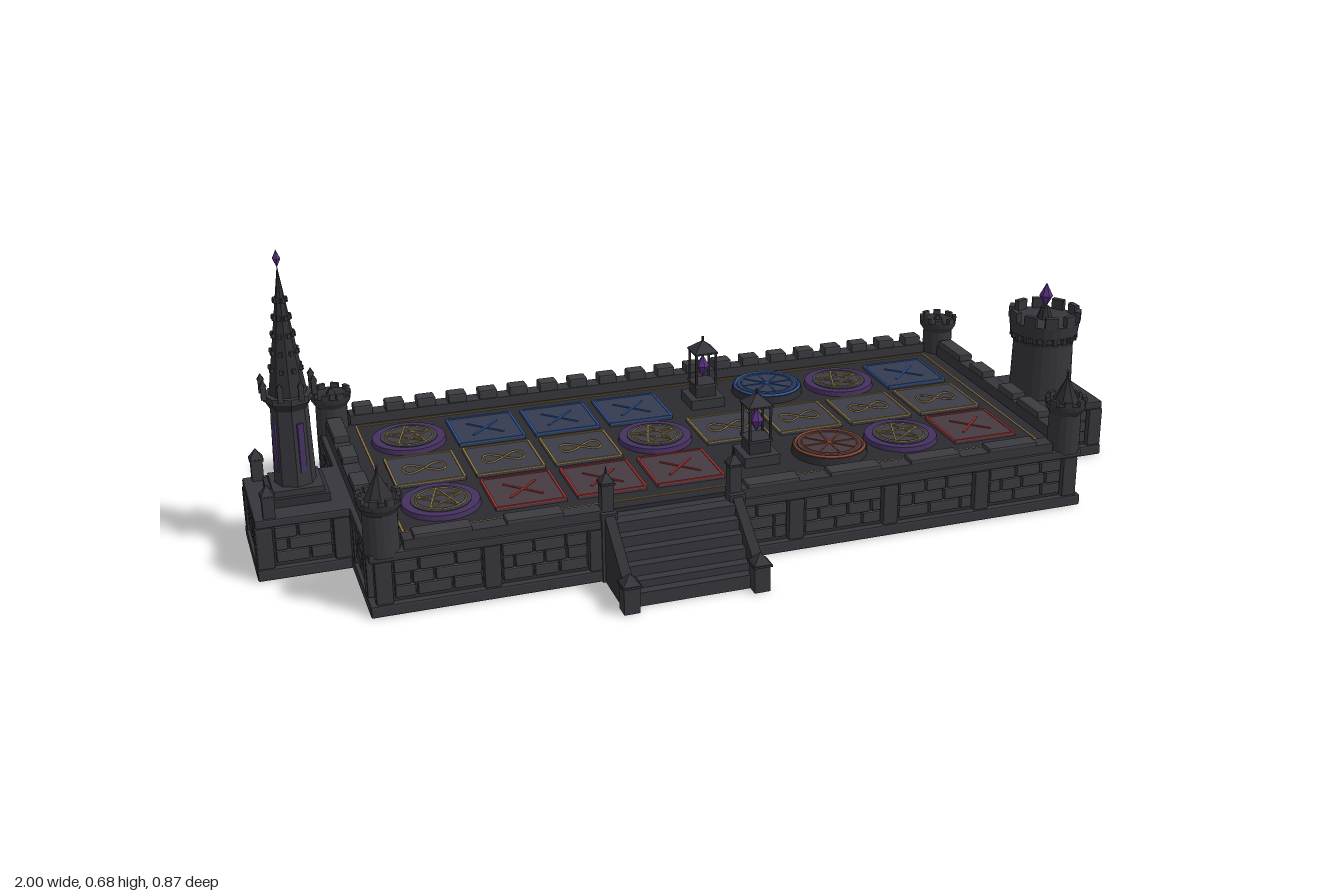
import * as THREE from 'three';
import { RoundedBoxGeometry } from 'three/addons/geometries/RoundedBoxGeometry.js';

const C = { stone: 0x35353b, brick: 0x3a3a40, trim: 0x2e2e33, floor: 0x2b2a30, tile: 0x3c3d46, blueTile: 0x343c50,
  redTile: 0x453a40, gold: 0x8a7440, blue: 0x2f569c, red: 0xa03030, orange: 0x8a452c, purple: 0x44305e, gem: 0x55307c };
const mats = {};
const mat = (c) => (mats[c] ??= new THREE.MeshStandardMaterial({ color: C[c], flatShading: true }));

function add(parent, name, geo, color, x = 0, y = 0, z = 0) {
  const m = new THREE.Mesh(geo, mat(color));
  m.name = name;
  m.position.set(x, y, z);
  parent.add(m);
  return m;
}
function group(parent, name, x = 0, y = 0, z = 0) {
  const g = new THREE.Group();
  g.name = name;
  g.position.set(x, y, z);
  parent.add(g);
  return g;
}
// plain or rounded box standing on y0
const box = (p, n, w, h, d, c, x = 0, y0 = 0, z = 0) => add(p, n, new THREE.BoxGeometry(w, h, d), c, x, y0 + h / 2, z);
const soft = (p, n, w, h, d, c, x = 0, y0 = 0, z = 0) =>
  add(p, n, new RoundedBoxGeometry(w, h, d, 1, 0.004), c, x, y0 + h / 2, z);
// drum standing on y0
const drum = (p, n, rt, rb, h, c, y0, sides = 16, x = 0, z = 0) =>
  add(p, n, new THREE.CylinderGeometry(rt, rb, h, sides), c, x, y0 + h / 2, z);
// square pyramid cap
function pyramid(p, n, w, h, c, x, y0, z) {
  const m = add(p, n, new THREE.ConeGeometry(w * Math.SQRT1_2, h, 4), c, x, y0 + h / 2, z);
  m.rotation.y = Math.PI / 4;
}
function crystal(p, r, h, x, y, z) {
  const m = add(p, 'crystal', new THREE.CylinderGeometry(0, 1, 1, 6).translate(0, 0.5, 0), 'gem', x, y, z);
  m.scale.set(r, h / 2, r);
  const low = add(p, 'crystalBase', new THREE.CylinderGeometry(1, 0, 1, 6).translate(0, -0.5, 0), 'gem', x, y, z);
  low.scale.copy(m.scale);
}
function ringOf(n, r, fn) {
  for (let i = 0; i < n; i++) {
    const a = ((i + 0.5) / n) * Math.PI * 2;
    fn(Math.sin(a) * r, Math.cos(a) * r, a);
  }
}
function merlonRing(p, n, r, w, h, d, y0) {
  ringOf(n, r, (x, z, a) => { box(p, 'merlon', w, h, d, 'stone', x, y0, z).rotation.y = a; });
}

let seed = 7;
const rand = () => (seed = (seed * 16807) % 2147483647) / 2147483647;
const spread = (len, bays) => Array.from({ length: bays + 1 }, (_, i) => (i / bays - 0.5) * len);

// wall face with pilasters at the given places along local x and raised bricks between, facing local +z
function wallFace(parent, places, x, z, ry) {
  const g = group(parent, 'brickFace', x, 0, z);
  g.rotation.y = ry;
  places.forEach((p, i) => {
    soft(g, 'pilaster', 0.036, 0.094, 0.026, 'stone', p, 0.026, 0);
    if (i === places.length - 1) return;
    const a = p + 0.02, end = places[i + 1] - 0.02;
    for (let r = 0; r < 3; r++) {
      let s = a;
      while (end - s > 0.01) {
        let l = 0.046 + rand() * 0.03;
        if (s === a && r === 1) l *= 0.5;
        if (end - s - l < 0.025) l = end - s;
        add(g, 'brick', new RoundedBoxGeometry(l - 0.004, 0.0255, 0.018, 1, 0.003), 'brick', s + l / 2, 0.0485 + r * 0.0275, 0);
        s += l;
      }
    }
  });
}
function block(parent, name, w, d, x, z, bottom) {
  const g = group(parent, name, x, 0, z);
  for (const s of [-1, 1]) {
    soft(g, 'plinth', w, 0.026, 0.04, 'stone', 0, 0, s * (d / 2 - 0.02));
    soft(g, 'plinth', 0.04, 0.026, d, 'stone', s * (w / 2 - 0.02), 0, 0);
  }
  box(g, 'core', w - 0.03, 0.13 - bottom, d - 0.03, 'trim', 0, bottom);
  soft(g, 'ledge', w - 0.006, 0.019, d - 0.006, 'stone', 0, 0.119);
}

function cornerTower(parent, x, z, roofed) {
  const g = group(parent, 'cornerTower', x, 0, z);
  const top = roofed ? 0.222 : 0.203;
  drum(g, 'shaft', 0.036, 0.037, top - 0.13, 'stone', 0.13);
  drum(g, 'corbel', 0.045, 0.036, 0.014, 'stone', top);
  drum(g, 'head', 0.045, 0.045, 0.012, 'trim', top + 0.014);
  merlonRing(g, 8, 0.041, 0.018, 0.013, 0.009, top + 0.024);
  if (roofed) {
    add(g, 'roof', new THREE.ConeGeometry(0.034, 0.065, 8), 'trim', 0, 0.274, 0);
    drum(g, 'finial', 0.002, 0.003, 0.02, 'stone', 0.3, 6);
    add(g, 'finialTip', new THREE.OctahedronGeometry(0.005), 'gem', 0, 0.317, 0);
  } else drum(g, 'cap', 0.004, 0.012, 0.014, 'trim', top + 0.024, 8);
}
function post(parent, x, z, y0, h, w) {
  const g = group(parent, 'post', x, y0, z);
  box(g, 'shaft', w, h, w, 'stone');
  box(g, 'collar', w * 1.2, 0.005, w * 1.2, 'trim', 0, h - 0.003);
  pyramid(g, 'cap', w * 1.1, 0.022, 'stone', 0, h + 0.002, 0);
}

function roundTower(parent, x, z) {
  const g = group(parent, 'roundTower', x, 0, z);
  drum(g, 'shaft', 0.07, 0.074, 0.165, 'stone', 0.135, 24);
  drum(g, 'band', 0.073, 0.073, 0.008, 'trim', 0.272, 24);
  ringOf(20, 0.073, (bx, bz, a) => { box(g, 'corbel', 0.01, 0.016, 0.014, 'trim', bx, 0.28, bz).rotation.y = a; });
  drum(g, 'head', 0.084, 0.08, 0.03, 'stone', 0.295, 24);
  merlonRing(g, 10, 0.078, 0.03, 0.026, 0.013, 0.324);
  drum(g, 'crystalStand', 0.01, 0.02, 0.03, 'trim', 0.324, 8);
  crystal(g, 0.016, 0.064, 0, 0.381, 0);
}

function spireTower(parent, x, z) {
  const g = group(parent, 'spireTower', x, 0, z);
  box(g, 'base', 0.126, 0.02, 0.126, 'trim', 0, 0.137);
  box(g, 'upperBase', 0.106, 0.014, 0.106, 'stone', 0, 0.156);
  drum(g, 'shaft', 0.039, 0.044, 0.18, 'stone', 0.168, 8);
  for (let i = 0; i < 4; i++) {
    const a = i * Math.PI / 2 + Math.PI / 8;
    box(g, 'window', 0.014, 0.11, 0.006, 'purple', Math.sin(a) * 0.039, 0.2, Math.cos(a) * 0.039).rotation.y = a;
  }
  drum(g, 'corbel', 0.05, 0.04, 0.018, 'trim', 0.338, 8);
  drum(g, 'gallery', 0.052, 0.052, 0.014, 'stone', 0.355, 8);
  ringOf(8, 0.056, (px, pz) => {
    box(g, 'pinnacle', 0.011, 0.03, 0.011, 'stone', px, 0.367, pz);
    pyramid(g, 'pinnacleCap', 0.014, 0.014, 'trim', px, 0.396, pz);
  });
  add(g, 'spire', new THREE.ConeGeometry(0.04, 0.28, 8), 'trim', 0, 0.506, 0);
  // knobs climbing the spire ribs
  for (let k = 0; k < 5; k++) {
    const y = 0.42 + k * 0.037;
    ringOf(8, 0.04 * (0.646 - y) / 0.28 + 0.001, (px, pz, a) => {
      box(g, 'spireKnob', 0.007, 0.009, 0.007, 'stone', px, y, pz).rotation.y = a;
    });
  }
  crystal(g, 0.009, 0.038, 0, 0.66, 0);
}

function lantern(parent, x, z) {
  const g = group(parent, 'lantern', x, 0, z);
  box(g, 'foot', 0.082, 0.03, 0.082, 'stone', 0, 0.14);
  box(g, 'pedestal', 0.05, 0.028, 0.05, 'trim', 0, 0.17);
  box(g, 'tray', 0.056, 0.006, 0.056, 'stone', 0, 0.197);
  for (const sx of [-1, 1]) for (const sz of [-1, 1]) box(g, 'bar', 0.005, 0.076, 0.005, 'trim', sx * 0.024, 0.202, sz * 0.024);
  box(g, 'eave', 0.056, 0.005, 0.056, 'trim', 0, 0.276);
  pyramid(g, 'roof', 0.058, 0.025, 'stone', 0, 0.28, 0);
  drum(g, 'finial', 0.003, 0.003, 0.014, 'trim', 0.3, 6);
  crystal(g, 0.016, 0.056, 0, 0.241, 0);
}

// flat bar between two points of the ground plane
function bar(p, n, x1, z1, x2, z2, w, c, y) {
  const m = box(p, n, Math.hypot(x2 - x1, z2 - z1), 0.003, w, c, (x1 + x2) / 2, y, (z1 + z2) / 2);
  m.rotation.y = -Math.atan2(z2 - z1, x2 - x1);
}
function frame(p, hw, hd, w, c, y) {
  for (const s of [-1, 1]) {
    bar(p, 'border', -hw, s * hd, hw, s * hd, w, c, y);
    bar(p, 'border', s * hw, -hd, s * hw, hd, w, c, y);
  }
}
function flatRing(p, n, r, t, c, y) {
  add(p, n, new THREE.TorusGeometry(r, t, 4, 32), c, 0, y, 0).rotation.x = Math.PI / 2;
}
class Loop8 extends THREE.Curve {
  getPoint(t, v = new THREE.Vector3()) {
    const a = t * Math.PI * 2;
    return v.set(Math.sin(a) * 0.046, 0, Math.sin(2 * a) * 0.021);
  }
}
const loopGeo = new THREE.TubeGeometry(new Loop8(), 48, 0.0025, 4, true);

function squareTile(parent, x, z, kind) {
  const g = group(parent, 'boardTile', x, 0.146, z);
  box(g, 'slab', 0.152, 0.008, 0.152, { loop: 'tile', blue: 'blueTile', red: 'redTile' }[kind]);
  const c = kind === 'loop' ? 'gold' : kind;
  frame(g, 0.074, 0.074, 0.005, c, 0.007);
  if (kind === 'loop') add(g, 'loopInlay', loopGeo, c, 0, 0.009, 0);
  else for (const s of [-1, 1]) bar(g, 'crossInlay', -0.035, -0.035 * s, 0.035, 0.035 * s, 0.005, c, 0.007);
}
function starTile(parent, x, z) {
  const g = group(parent, 'starTile', x, 0.146, z);
  drum(g, 'disc', 0.082, 0.084, 0.012, 'purple', 0, 32);
  drum(g, 'centre', 0.064, 0.064, 0.003, 'tile', 0.011, 32);
  flatRing(g, 'ring', 0.053, 0.002, 'gold', 0.014);
  const pt = (i) => [Math.sin(i * Math.PI * 0.4) * 0.052, -Math.cos(i * Math.PI * 0.4) * 0.052];
  for (let i = 0; i < 5; i++) bar(g, 'starInlay', ...pt(i), ...pt(i + 2), 0.004, 'gold', 0.013);
}
function wheelTile(parent, x, z, c, field) {
  const g = group(parent, 'wheelTile', x, 0.146, z);
  drum(g, 'disc', 0.083, 0.085, 0.018, 'trim', 0, 32);
  drum(g, 'centre', 0.072, 0.072, 0.004, field, 0.017, 32);
  flatRing(g, 'outerRing', 0.077, 0.004, c, 0.019);
  flatRing(g, 'innerRing', 0.062, 0.002, c, 0.021);
  for (let i = 0; i < 4; i++) {
    const dx = Math.cos(i * Math.PI / 4) * 0.06, dz = Math.sin(i * Math.PI / 4) * 0.06;
    bar(g, 'spoke', -dx, -dz, dx, dz, 0.003, c, 0.02);
  }
}

function stairs(parent, x, z0) {
  const g = group(parent, 'stairs', x, 0, z0);
  const n = 6, rise = 0.14 / n, run = 0.13 / n;
  for (let i = 0; i < n; i++) box(g, 'step', 0.26, rise * 1.3, run * 1.4, 'stone', 0, 0.14 - rise * (i + 1.3 * (i < n - 1 ? 1 : 0.77)), (i + 0.5) * run - 0.004);
  const side = new THREE.Shape([[-0.02, 0], [0.14, 0], [0.14, 0.055], [0, 0.155], [-0.02, 0.155]].map((p) => new THREE.Vector2(...p)));
  for (const s of [-1, 1]) {
    const m = add(g, 'stairWall', new THREE.ExtrudeGeometry(side, { depth: 0.022, bevelEnabled: false }), 'trim', s * 0.14 + 0.011, 0, 0);
    m.rotation.y = -Math.PI / 2;
    post(g, s * 0.14, 0.139, 0, 0.06, 0.034);
    box(g, 'gatePier', 0.034, 0.155, 0.03, 'stone', s * 0.14, 0, -0.008);
    post(g, s * 0.14, -0.018, 0.135, 0.082, 0.026);
    drum(g, 'finial', 0.001, 0.003, 0.016, 'trim', 0.236, 6, s * 0.14, -0.018);
  }
}

export function createModel() {
  const model = new THREE.Group();
  model.name = 'castleBoard';
  const cz = -0.075;

  // main terrace and side platforms
  block(model, 'terrace', 1.61, 0.71, 0, cz, 0);
  for (const s of [-1, 1]) {
    wallFace(model, spread(1.55, 7), 0, cz + s * 0.341, s > 0 ? 0 : Math.PI);
    wallFace(model, [-0.222, -0.06, 0.18, 0.405].map((p) => s * p).sort((a, b) => a - b), s * 0.791, 0, s * Math.PI / 2);
    block(model, 'sidePlatform', 0.25, 0.24, s * 0.875, cz, 0.012);
    wallFace(model, spread(0.2, 1), s * 0.986, cz, s * Math.PI / 2);
    for (const t of [-1, 1]) wallFace(model, spread(0.16, 1), s * 0.9, cz + t * 0.106, t > 0 ? 0 : Math.PI);
    post(model, -0.965, cz + s * 0.1, 0.136, 0.05, 0.025);
  }

  // parapets and merlons
  box(model, 'backParapet', 1.46, 0.033, 0.04, 'stone', 0, 0.137, -0.405);
  for (let i = 0; i < 20; i++) soft(model, 'backMerlon', 0.044, 0.024, 0.036, 'brick', (i - 9.5) * 0.0735, 0.167, -0.405);
  for (const [a, b] of [[-0.73, -0.32], [-0.02, 0.73]]) {
    box(model, 'frontParapet', b - a, 0.024, 0.036, 'stone', (a + b) / 2, 0.135, 0.253);
    for (let x = a + 0.08; x < b - 0.05; x += 0.19) soft(model, 'copingStone', 0.12, 0.012, 0.04, 'brick', x, 0.157, 0.253);
  }
  for (const s of [-1, 1]) {
    box(model, 'sideParapet', 0.036, 0.033, 0.575, 'stone', s * 0.772, 0.137, cz);
    for (const [z, d] of [[0.105, 0.1], [0, 0.07], [-0.15, 0.07], [-0.294, 0.118]])
      soft(model, 'sideMerlon', 0.036, 0.018, d, 'brick', s * 0.772, 0.168, z);
    cornerTower(model, s * 0.77, 0.247, true);
    cornerTower(model, s * 0.77, -0.392, false);
  }

  // board floor, gold border and tiles
  box(model, 'boardFloor', 1.5, 0.012, 0.64, 'floor', 0, 0.135, cz);
  const border = group(model, 'boardBorder', 0, 0.146, -0.08);
  frame(border, 0.72, 0.293, 0.005, 'gold', 0);
  const rows = [['star', 'blue', 'blue', 'blue', 'lamp', 'wheel', 'star', 'blue'],
    ['loop', 'loop', 'loop', 'star', 'loop', 'loop', 'loop', 'loop'],
    ['star', 'red', 'red', 'red', 'lamp', 'wheel', 'star', 'red']];
  rows.forEach((row, r) => row.forEach((k, i) => {
    const x = -0.62 + i * 0.1757, z = -0.252 + r * 0.177;
    if (k === 'star') starTile(model, x, z);
    else if (k === 'lamp') lantern(model, x, z + 0.003);
    else if (k === 'wheel') wheelTile(model, 0.253, r ? 0.117 : -0.267, r ? 'orange' : 'blue', r ? 'redTile' : 'blueTile');
    else squareTile(model, x, z, k);
  }));

  stairs(model, -0.167, 0.277);
  roundTower(model, 0.89, -0.072);
  spireTower(model, -0.895, -0.073);
  return model;
}
